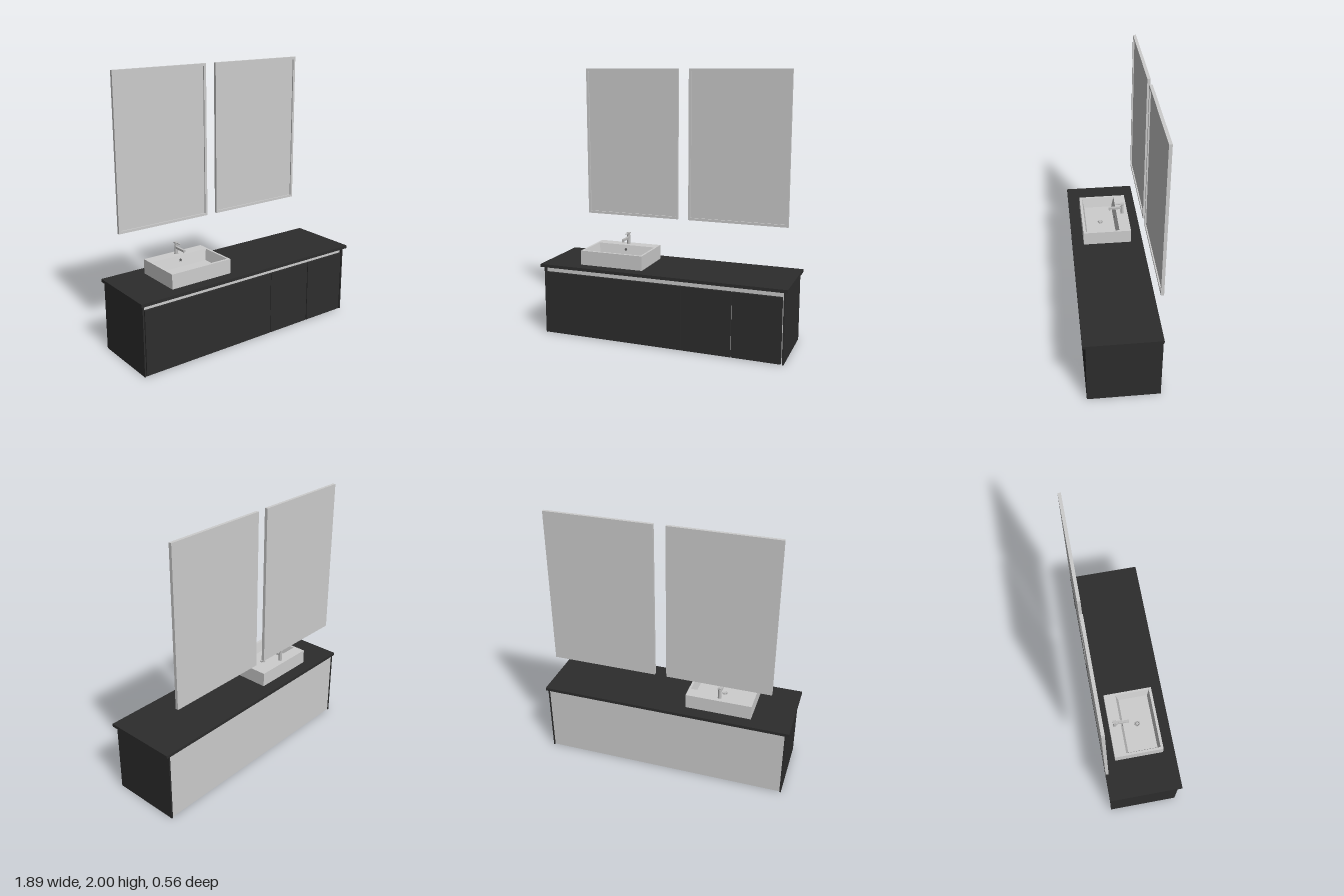
import * as THREE from 'three';

const mat = (name, color, extra = {}) => Object.assign(new THREE.MeshStandardMaterial({ color, ...extra }), { name });

export function createModel() {
  const dark = mat('dark lacquer', 0x2d2d2d);
  const light = mat('pale panel', 0xcccccc);
  const ceramic = mat('white ceramic', 0xcdcdcd);
  const chrome = mat('chrome', 0xbebebe);
  const hole = mat('drain shadow', 0x555555);

  const root = new THREE.Group();
  root.name = 'vanityUnit';
  const group = (name) => {
    const g = new THREE.Group();
    g.name = name;
    root.add(g);
    return g;
  };
  const add = (parent, name, geometry, material, x = 0, y = 0, z = 0) => {
    const m = new THREE.Mesh(geometry, material);
    m.name = name;
    m.position.set(x, y, z);
    parent.add(m);
    return m;
  };
  // Box given by its limits on each axis
  const box = (parent, name, material, [x0, x1], [y0, y1], [z0, z1]) =>
    add(parent, name, new THREE.BoxGeometry(x1 - x0, y1 - y0, z1 - z0), material,
      (x0 + x1) / 2, (y0 + y1) / 2, (z0 + z1) / 2);

  // Cabinet: pale carcass between dark side panels, with doors in front
  const cabinet = group('cabinet');
  box(cabinet, 'carcass', light, [-0.914, 0.914], [0.003, 0.523], [-0.27, 0.235]);
  for (const s of [-1, 1]) {
    const xs = [s * 0.914, s * 0.925].sort((a, b) => a - b);
    box(cabinet, 'sidePanel', dark, xs, [0, 0.523], [-0.275, 0.255]);
  }
  const doors = [[-0.908, 0.175], [0.179, 0.543], [0.55, 0.905]];
  for (const xs of doors) box(cabinet, 'door', dark, xs, [0.003, 0.482], [0.236, 0.255]);
  box(cabinet, 'doorSeam', dark, [0.174, 0.18], [0.003, 0.482], [0.236, 0.242]);
  box(cabinet, 'countertop', dark, [-0.945, 0.945], [0.523, 0.546], [-0.277, 0.278]);

  // Wall mirrors: raised frame around a recessed pane
  for (const [x0, x1] of [[-0.8, -0.036], [0.05, 0.828]]) {
    const mirror = group('mirror');
    const w = x1 - x0, y0 = 0.853, h = 2 - y0, t = 0.019;
    const rect = (C, i) => new C([[i, i], [w - i, i], [w - i, h - i], [i, h - i]].map((p) => new THREE.Vector2(...p)));
    const shape = rect(THREE.Shape, 0);
    shape.holes.push(rect(THREE.Path, t));
    add(mirror, 'mirrorFrame', new THREE.ExtrudeGeometry(shape, { depth: 0.022, bevelEnabled: false }), light, x0, y0, -0.278);
    box(mirror, 'mirrorPane', light, [x0 + t, x1 - t], [y0 + t, 2 - t], [-0.278, -0.266]);
  }

  // Basin: rectangular rings joined up the outside, over the rim and down to the floor
  const basin = group('basin');
  const rings = [
    [-0.648, -0.152, -0.185, 0.188, 0.546],
    [-0.648, -0.152, -0.185, 0.188, 0.655],
    [-0.63, -0.168, -0.095, 0.168, 0.655],
    [-0.611, -0.187, -0.075, 0.152, 0.575],
  ].map(([x0, x1, z0, z1, y]) => [[x0, y, z1], [x1, y, z1], [x1, y, z0], [x0, y, z0]]);
  const pos = [];
  const quad = (a, b, c, d) => pos.push(...a, ...b, ...c, ...a, ...c, ...d);
  for (let r = 0; r < rings.length - 1; r++) {
    for (let i = 0; i < 4; i++) {
      const j = (i + 1) % 4;
      quad(rings[r][i], rings[r][j], rings[r + 1][j], rings[r + 1][i]);
    }
  }
  quad(...rings[3]);
  quad(...[...rings[0]].reverse());
  const bowl = new THREE.BufferGeometry();
  bowl.setAttribute('position', new THREE.Float32BufferAttribute(pos, 3));
  bowl.computeVertexNormals();
  add(basin, 'basinBowl', bowl, ceramic);

  // Drain and overflow: chrome ring around a dark disc
  const fitting = (name, r, x, y, z, tilt) => {
    const g = new THREE.Group();
    g.name = name;
    g.position.set(x, y, z);
    g.rotation.x = tilt;
    basin.add(g);
    add(g, name + 'Disc', new THREE.CylinderGeometry(r, r, 0.004, 24), hole);
    const ring = add(g, name + 'Ring', new THREE.TorusGeometry(r, r * 0.22, 8, 24), chrome);
    ring.rotation.x = Math.PI / 2;
    return g;
  };
  const drain = fitting('drain', 0.018, -0.4, 0.576, 0.035, 0);
  add(drain, 'drainPlug', new THREE.CylinderGeometry(0.012, 0.012, 0.006, 24), chrome, 0, 0.002, 0);
  fitting('overflow', 0.01, -0.4, 0.622, -0.086, 1.33);

  // Faucet: upright body, forward spout, flat lever on top
  const faucet = group('faucet');
  const fx = -0.4, fz = -0.142;
  add(faucet, 'faucetBase', new THREE.CylinderGeometry(0.015, 0.015, 0.005, 24), chrome, fx, 0.657, fz);
  add(faucet, 'faucetBody', new THREE.CylinderGeometry(0.0125, 0.0125, 0.07, 24), chrome, fx, 0.69, fz);
  add(faucet, 'faucetCap', new THREE.CylinderGeometry(0.0125, 0.011, 0.012, 24), chrome, fx, 0.732, fz);
  box(faucet, 'faucetSpout', chrome, [fx - 0.009, fx + 0.009], [0.697, 0.713], [fz, -0.032]);
  add(faucet, 'faucetOutlet', new THREE.CylinderGeometry(0.007, 0.007, 0.008, 16), chrome, fx, 0.693, -0.042);
  box(faucet, 'faucetLever', chrome, [fx - 0.013, fx + 0.013], [0.737, 0.745], [-0.156, -0.128]);
  box(faucet, 'faucetLeverTip', chrome, [fx - 0.006, fx + 0.006], [0.738, 0.744], [-0.128, -0.088]);

  return root;
}
